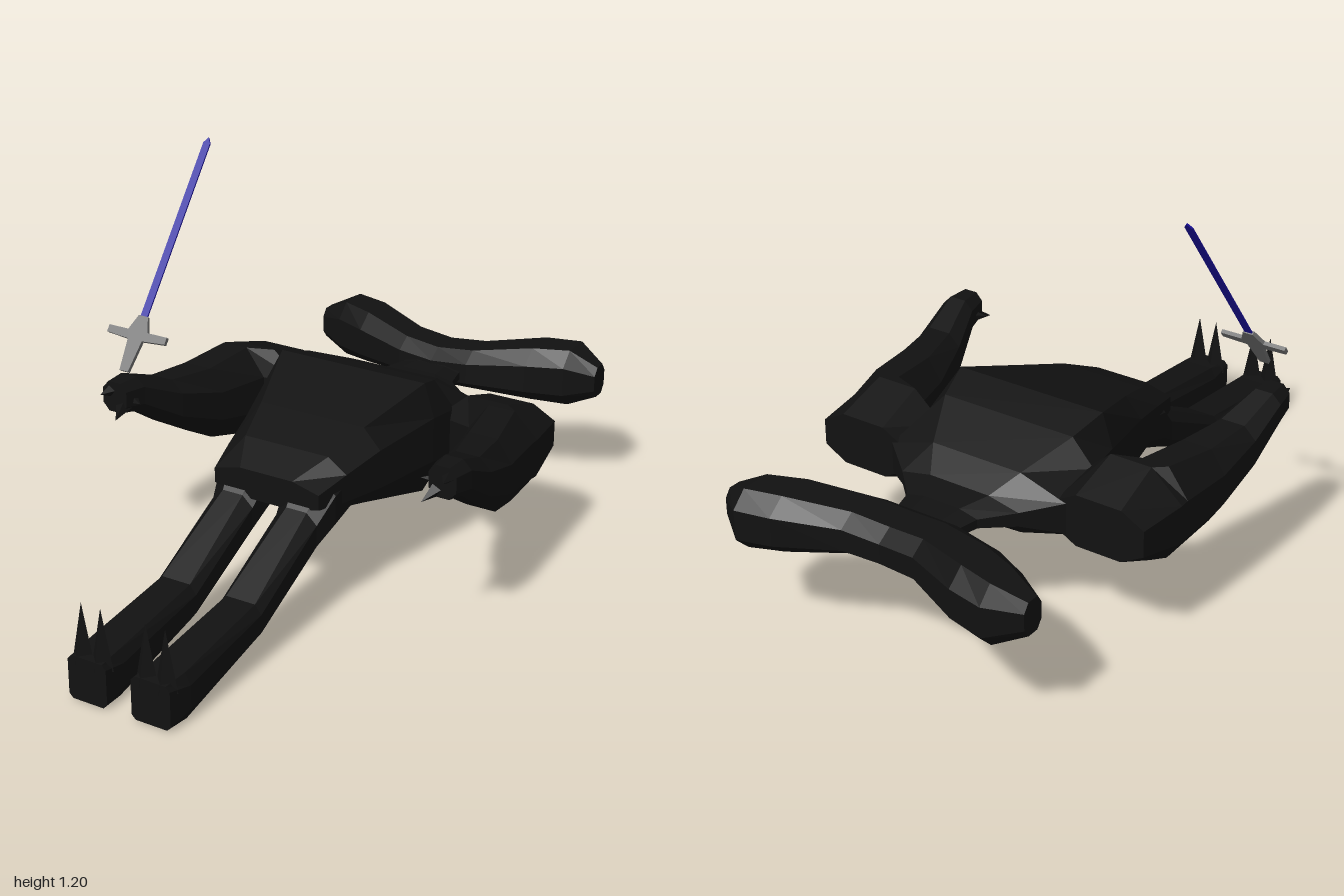
import * as THREE from 'three';

const skin = new THREE.MeshStandardMaterial({ color: 0x111111, flatShading: true });
const steel = new THREE.MeshStandardMaterial({ color: 0x707070, flatShading: true });
const blue = new THREE.MeshStandardMaterial({ color: 0x1a10a0, flatShading: true });

function addMesh(parent, name, geometry, material = skin) {
  const mesh = new THREE.Mesh(geometry, material);
  mesh.name = name;
  parent.add(mesh);
  return mesh;
}

// Eight-sided tube through rings [t, a0, a1, b0, b1, chamferA, chamferB].
// Along z: a = x, b = y. Along x: a = y, b = z.
function loft(rings, axis = 'z') {
  const pos = [], index = [], n = 8;
  for (const [t, a0, a1, b0, b1, ca = 0.25, cb = 0.25] of rings) {
    const da = (a1 - a0) * ca, db = (b1 - b0) * cb;
    const ring = [
      [a1, b0 + db], [a1, b1 - db], [a1 - da, b1], [a0 + da, b1],
      [a0, b1 - db], [a0, b0 + db], [a0 + da, b0], [a1 - da, b0],
    ];
    for (const [a, b] of ring) pos.push(...(axis === 'z' ? [a, b, t] : [t, a, b]));
  }
  for (let i = 0; i < rings.length - 1; i++) {
    for (let j = 0; j < n; j++) {
      const p = i * n + j, q = i * n + (j + 1) % n;
      index.push(p, q, q + n, p, q + n, p + n);
    }
  }
  const last = (rings.length - 1) * n;
  for (let j = 1; j < n - 1; j++) {
    index.push(0, j + 1, j, last, last + j, last + j + 1);
  }
  const g = new THREE.BufferGeometry();
  g.setAttribute('position', new THREE.Float32BufferAttribute(pos, 3));
  g.setIndex(index);
  const flat = g.toNonIndexed();
  flat.computeVertexNormals();
  return flat;
}

// Swap the x range of z-running rings for the other side
const sided = (rings, s) => rings.map(([t, a0, a1, ...rest]) =>
  s > 0 ? [t, a0, a1, ...rest] : [t, -a1, -a0, ...rest]);

// Four-sided spike between two points
function addClaw(parent, name, from, to, radius) {
  const a = new THREE.Vector3(...from), b = new THREE.Vector3(...to);
  const dir = b.clone().sub(a);
  const geo = new THREE.ConeGeometry(radius, dir.length(), 4);
  const claw = addMesh(parent, name, geo);
  claw.position.copy(a).add(b).multiplyScalar(0.5);
  claw.quaternion.setFromUnitVectors(new THREE.Vector3(0, 1, 0), dir.normalize());
}

function plate(points, depth) {
  const shape = new THREE.Shape(points.map(([x, y]) => new THREE.Vector2(x, y)));
  return new THREE.ExtrudeGeometry(shape, { depth, bevelEnabled: false }).translate(0, 0, -depth / 2);
}

export function createModel() {
  const model = new THREE.Group();
  model.name = 'hammerheadCreature';

  // Torso and neck
  addMesh(model, 'torso', loft([
    [-0.78, -0.10, 0.10, 0.34, 0.42],
    [-0.70, -0.10, 0.10, 0.35, 0.40],
    [-0.62, -0.12, 0.12, 0.35, 0.405],
    [-0.54, -0.20, 0.20, 0.335, 0.42],
    [-0.46, -0.30, 0.30, 0.28, 0.47],
    [-0.31, -0.29, 0.29, 0.22, 0.535, 0.12],
    [-0.20, -0.28, 0.28, 0.22, 0.57, 0.06, 0.3],
    [0.03, -0.23, 0.23, 0.26, 0.50, 0.12],
    [0.17, -0.20, 0.20, 0.285, 0.455, 0.15],
    [0.28, -0.175, 0.175, 0.32, 0.41],
  ]));

  // Wide hammer-shaped head
  const headHalf = [
    [0.12, 0.32, 0.45, -0.90, -0.71],
    [0.30, 0.30, 0.475, -0.98, -0.765],
    [0.41, 0.29, 0.475, -1.0, -0.815],
    [0.50, 0.33, 0.43, -0.935, -0.86],
  ];
  addMesh(model, 'head', loft([
    ...headHalf.map(([x, ...r]) => [-x, ...r]).reverse(),
    [0, 0.32, 0.44, -0.89, -0.70],
    ...headHalf,
  ], 'x'));

  for (const s of [1, -1]) {
    const side = s > 0 ? 'left' : 'right';

    // Arm with shoulder, curving up to the hand
    addMesh(model, side + 'Arm', loft(sided([
      [-0.46, 0.26, 0.55, 0.30, 0.46],
      [-0.30, 0.24, 0.57, 0.22, 0.515, 0.3, 0.3],
      [-0.27, 0.36, 0.57, 0.225, 0.515, 0.3, 0.3],
      [-0.10, 0.40, 0.585, 0.27, 0.50, 0.25, 0.3],
      [0.05, 0.445, 0.595, 0.36, 0.51],
      [0.18, 0.49, 0.60, 0.45, 0.56],
      [0.25, 0.505, 0.59, 0.465, 0.56],
    ], s)));
    addClaw(model, side + 'UpperFinger', [s * 0.56, 0.53, 0.22], [s * 0.57, 0.53, 0.29], 0.03);
    addClaw(model, side + 'LowerFinger', [s * 0.53, 0.49, 0.22], [s * 0.51, 0.465, 0.30], 0.03);
    addClaw(model, side + 'Thumb', [s * 0.53, 0.50, 0.20], [s * 0.47, 0.50, 0.23], 0.025);

    // Leg and foot
    addMesh(model, side + 'Leg', loft(sided([
      [0.08, 0.02, 0.20, 0.29, 0.43],
      [0.22, 0.03, 0.195, 0.235, 0.41],
      [0.29, 0.04, 0.175, 0.20, 0.33],
      [0.58, 0.04, 0.175, 0.07, 0.18, 0.15],
      [0.92, 0.04, 0.175, 0.005, 0.145, 0.12],
      [1.0, 0.04, 0.165, 0.008, 0.14, 0.1, 0.1],
    ], s)));
    for (const x of [0.072, 0.135]) {
      addClaw(model, side + 'ToeClaw', [s * x, 0.11, 0.97], [s * x, 0.29, 0.97], 0.036);
    }
  }

  // Sword, tilted back above the right hand
  const sword = new THREE.Group();
  sword.name = 'sword';
  sword.position.set(-0.5, 0.61, 0.26);
  sword.rotation.x = -0.662;
  model.add(sword);
  const mirrored = (pts) => [...pts, ...pts.map(([x, y]) => [-x, y]).reverse()];
  addMesh(sword, 'hilt', plate(mirrored([
    [0.015, 0], [0.025, 0.097], [0.103, 0.103], [0.103, 0.125], [0.035, 0.125], [0.016, 0.172],
  ]), 0.012), steel);
  addMesh(sword, 'blade', plate([
    [-0.012, 0.16], [0.012, 0.16], [0.012, 0.73], [0, 0.748], [-0.012, 0.73],
  ], 0.005), blue);

  return model;
}
